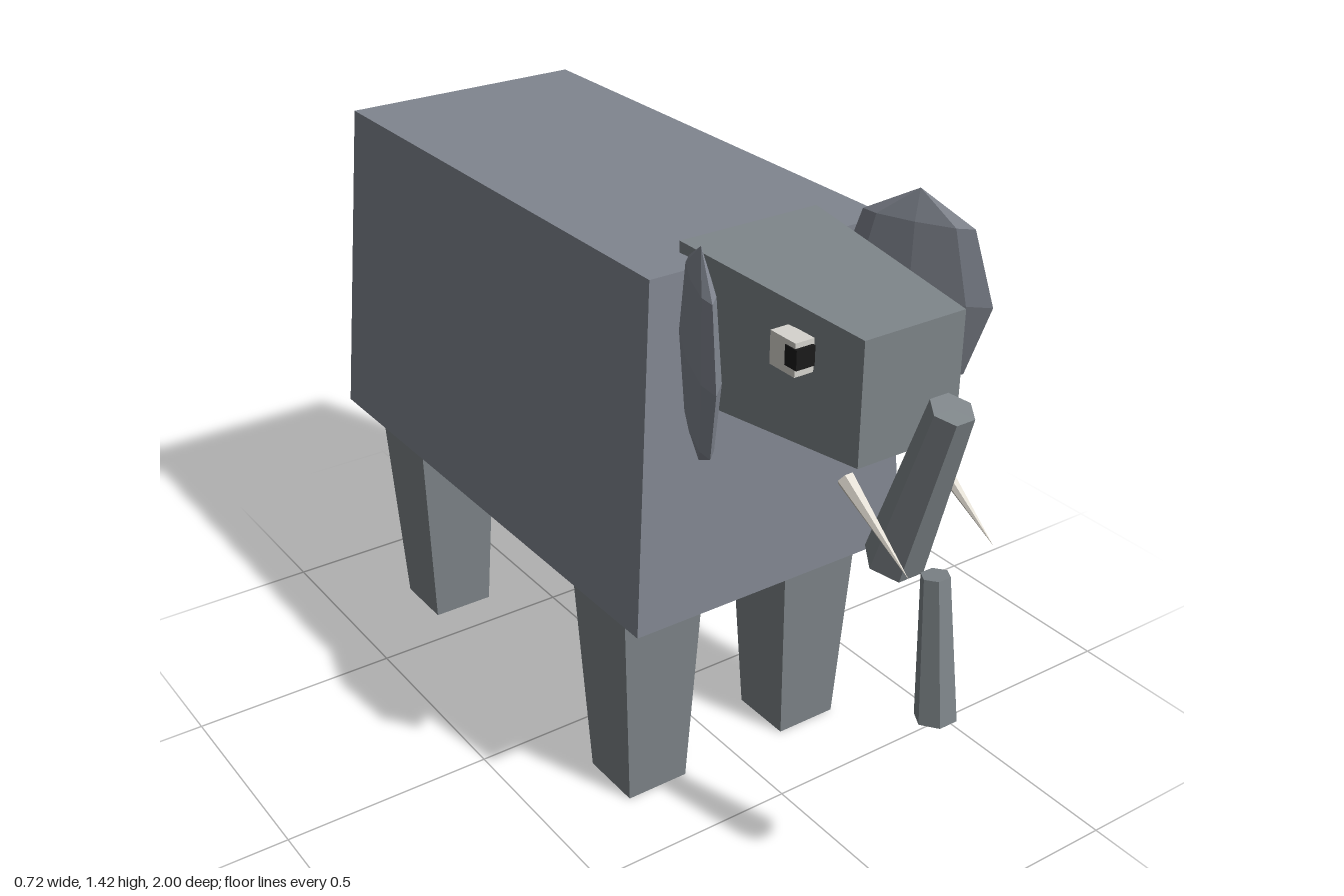
import * as THREE from 'three';

const mat = (name, color) => new THREE.MeshStandardMaterial({ name, color, flatShading: true });

export function createModel() {
  const model = new THREE.Group();
  model.name = 'elephant';
  const hide = mat('hide grey', 0x80858f);
  const skin = mat('skin grey', 0x7d8488);
  const ivory = mat('ivory', 0xddd8ce);
  const white = mat('eye white', 0xd6d4ce);
  const black = mat('pupil black', 0x1a1a1a);

  const add = (name, geometry, material, x = 0, y = 0, z = 0) => {
    const mesh = new THREE.Mesh(geometry, material);
    mesh.name = name;
    mesh.position.set(x, y, z);
    model.add(mesh);
    return mesh;
  };

  // Box whose cross-section is scaled at the top end of the given axis
  const taperedBox = (w, h, d, axis, scaleA, scaleB) => {
    const g = new THREE.BoxGeometry(w, h, d);
    const p = g.attributes.position;
    const v = new THREE.Vector3();
    for (let i = 0; i < p.count; i++) {
      v.fromBufferAttribute(p, i);
      if (v[axis] > 0) {
        v.x *= scaleA;
        if (axis === 'y') v.z *= scaleB;
        else v.y *= scaleB;
      }
      p.setXYZ(i, v.x, v.y, v.z);
    }
    g.computeVertexNormals();
    return g;
  };

  // Hexagonal rod from bottom point a to top point b
  const rod = (name, a, b, rBottom, rTop, material) => {
    const from = new THREE.Vector3(...a);
    const to = new THREE.Vector3(...b);
    const dir = to.clone().sub(from);
    const g = new THREE.CylinderGeometry(rTop, rBottom, dir.length(), 6, 1, false, Math.PI / 2);
    const mesh = add(name, g, material);
    mesh.position.copy(from).add(to).multiplyScalar(0.5);
    mesh.quaternion.setFromUnitVectors(new THREE.Vector3(0, 1, 0), dir.normalize());
    return mesh;
  };

  // Body and head
  add('body', taperedBox(0.72, 0.78, 1.34, 'y', 0.833, 0.94), hide, 0, 0.93, -0.225);
  add('head', taperedBox(0.346, 0.337, 0.505, 'z', 0.71, 0.78), skin, 0, 1.177, 0.578);

  // Trunk in two separate segments, and the tail
  rod('upperTrunk', [0, 0.798, 0.815], [0, 1.181, 0.94], 0.063, 0.045, skin);
  rod('lowerTrunk', [0, 0.506, 0.965], [0, 0.822, 0.933], 0.044, 0.03, skin);
  rod('tail', [0, 0.64, -0.85], [0, 1.005, -0.98], 0.019, 0.015, hide);

  for (const s of [1, -1]) {
    const side = s > 0 ? 'left' : 'right';

    // Legs narrow towards the feet
    for (const [end, z] of [['Front', 0.237], ['Rear', -0.678]]) {
      add(side + end + 'Leg', taperedBox(0.156, 0.54, 0.156, 'y', 1.34, 1.34), skin, s * 0.219, 0.27, z);
    }

    // Ears fan forwards and outwards
    const ear = add(side + 'Ear', new THREE.SphereGeometry(1, 8, 4), hide, s * 0.27, 1.2, 0.53);
    ear.scale.set(0.028, 0.225, 0.172);
    ear.rotation.y = s * 0.45;

    // Eyes: white block with a pupil block at its front
    add(side + 'Eye', new THREE.BoxGeometry(0.045, 0.07, 0.075), white, s * 0.162, 1.238, 0.6725);
    add(side + 'Pupil', new THREE.BoxGeometry(0.044, 0.042, 0.035), black, s * 0.165, 1.241, 0.7);

    // Tusks point forwards and down
    rod(side + 'Tusk', [s * 0.107, 0.998, 0.78], [s * 0.107, 0.87, 0.973], 0.019, 0, ivory);
  }
  return model;
}
